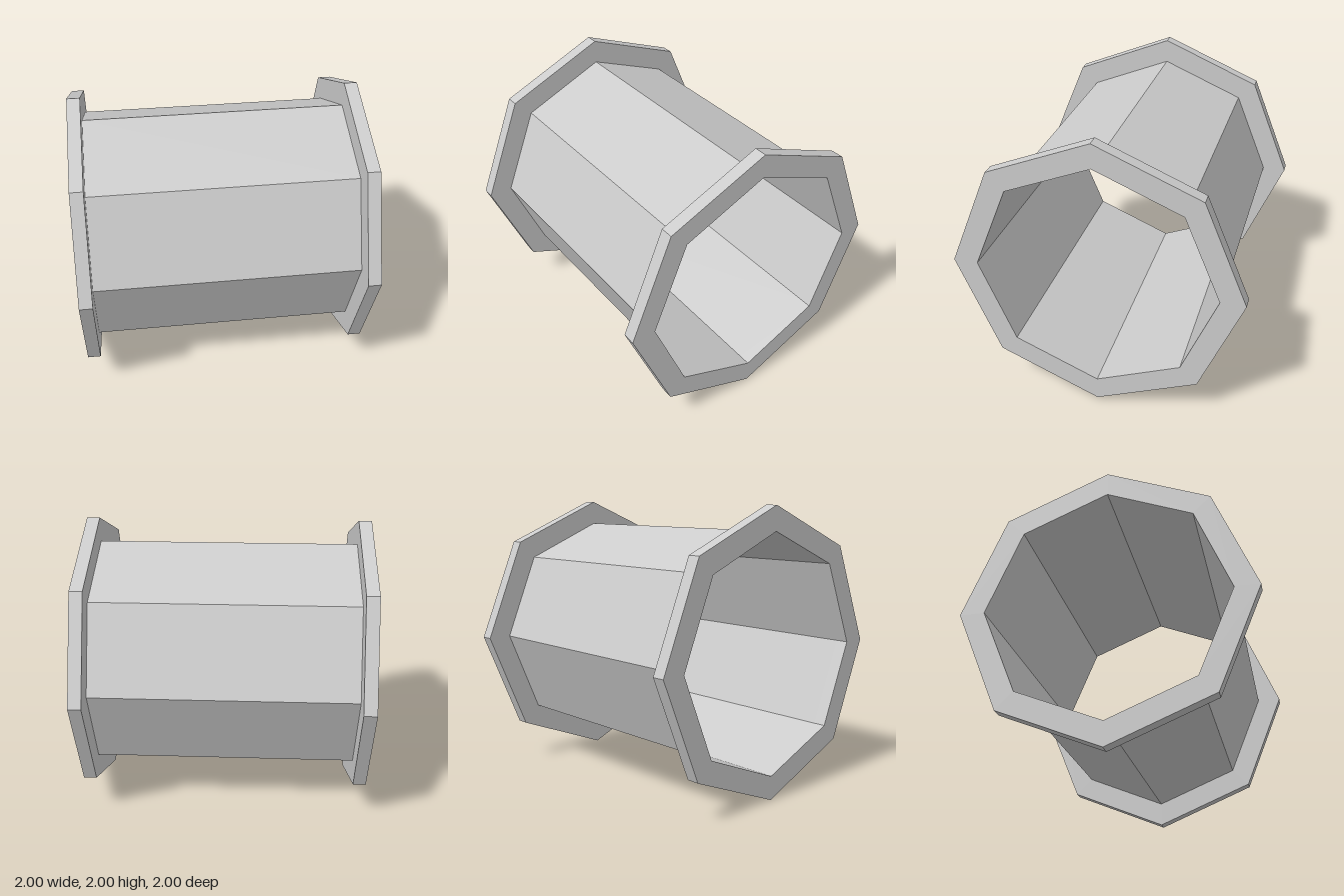
import * as THREE from 'three';

const SIDES = 8;
const BORE = 0.83;      // radius of the thin-walled barrel and of the flange holes
const RIM = 1;          // outer radius of the flanges
const FLANGE = 0.09;    // flange thickness
const HALF = 1;         // half of the overall length

export function createModel() {
  const model = new THREE.Group();
  const grey = { color: 0xcccccc, flatShading: true };
  const solid = new THREE.MeshStandardMaterial(grey);
  const thin = new THREE.MeshStandardMaterial({ ...grey, side: THREE.DoubleSide });

  // Open eight-sided barrel lying along x
  const barrelGeometry = new THREE.CylinderGeometry(BORE, BORE, 2 * (HALF - FLANGE), SIDES, 1, true);
  barrelGeometry.rotateZ(Math.PI / 2);
  const barrel = new THREE.Mesh(barrelGeometry, thin);
  barrel.name = 'barrel';
  barrel.position.y = RIM;
  model.add(barrel);

  // Octagonal ring flange: a closed rectangular section turned about the axis
  const h = FLANGE / 2;
  const section = [[BORE, -h], [RIM, -h], [RIM, h], [BORE, h], [BORE, -h]]
    .map(([r, y]) => new THREE.Vector2(r, y));
  const flangeGeometry = new THREE.LatheGeometry(section, SIDES);
  flangeGeometry.rotateZ(Math.PI / 2);

  // One flange at each end
  for (const side of [1, -1]) {
    const flange = new THREE.Mesh(flangeGeometry, solid);
    flange.name = side > 0 ? 'leftFlange' : 'rightFlange';
    flange.position.set(side * (HALF - h), RIM, 0);
    model.add(flange);
  }

  return model;
}
